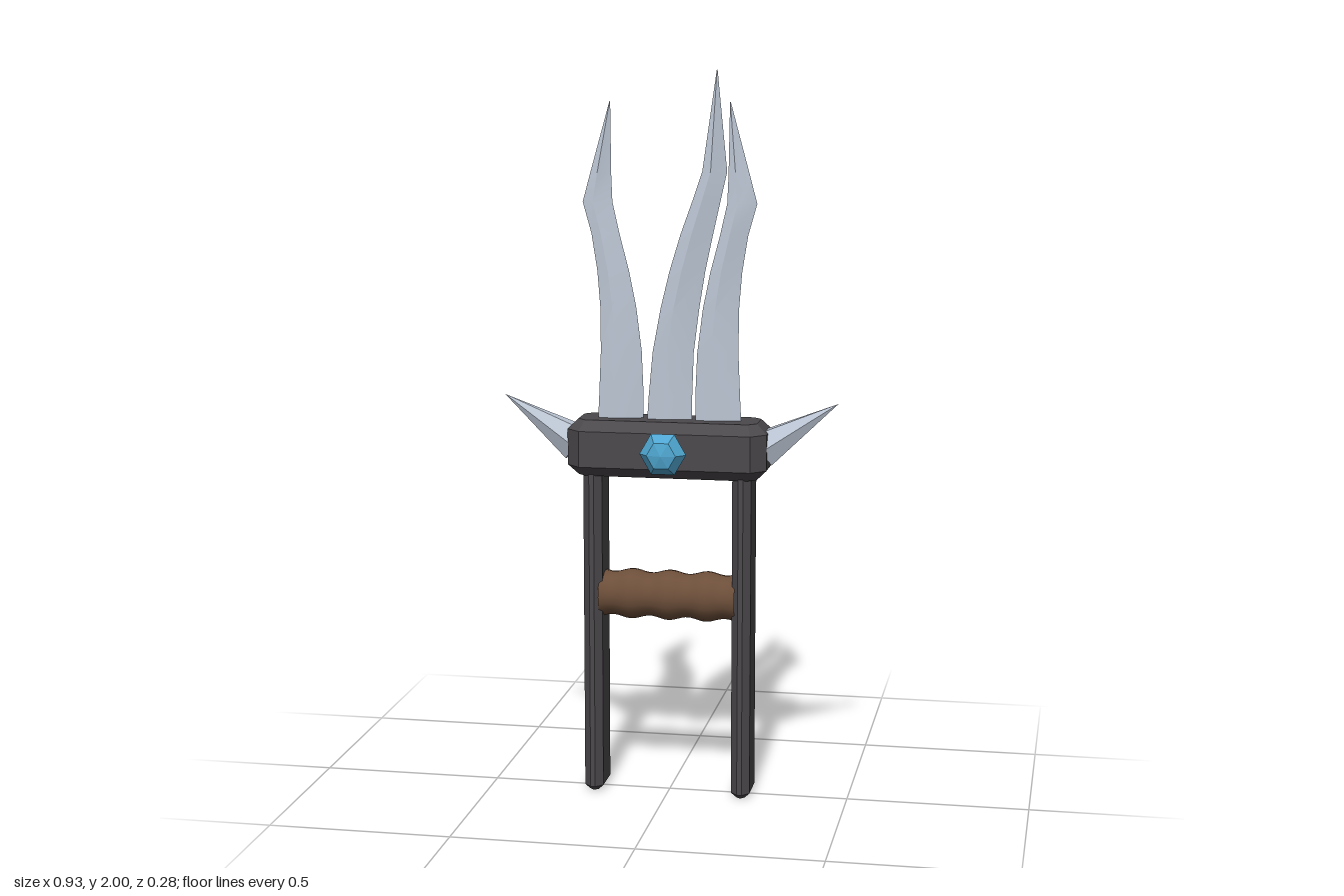
import * as THREE from 'three';
import { toCreasedNormals } from 'three/addons/utils/BufferGeometryUtils.js';

const material = (color, flatShading = false) => new THREE.MeshStandardMaterial({ color, flatShading });
const iron = material(0x4c494c, true);
const steel = material(0xbcc6d4);
const spikeSteel = material(0xbcc6d4, true);
const leather = material(0x6d4f3a);
const crystal = material(0x4fa6d0, true);

function add(parent, name, geometry, mat) {
  const mesh = new THREE.Mesh(geometry, mat);
  mesh.name = name;
  parent.add(mesh);
  return mesh;
}

// Box with every edge cut at 45 degrees, centred on the origin
function chamferedBox(w, h, d, c) {
  const x = w / 2 - c, z = d / 2 - c, k = c * 0.8;
  const shape = new THREE.Shape([
    [x, -z + k], [x, z - k], [x - k, z], [-x + k, z],
    [-x, z - k], [-x, -z + k], [-x + k, -z], [x - k, -z],
  ].map(([a, b]) => new THREE.Vector2(a, b)));
  return new THREE.ExtrudeGeometry(shape, {
    depth: h - 2 * c, bevelEnabled: true, bevelSegments: 1, bevelSize: c, bevelThickness: c,
  }).translate(0, 0, -(h - 2 * c) / 2).rotateX(-Math.PI / 2);
}

// Wedge-section blade: blunt spine on -x, sharp edge on +x; rows are [y, xMin, xMax, half thickness]
function bladeGeometry(rows) {
  const pos = [], index = [];
  for (const [y, l, r, t] of rows) {
    const m = l + (r - l) * 0.35;
    pos.push(r, y, 0, m, y, -t, l, y, -t * 0.7, l, y, t * 0.7, m, y, t);
  }
  for (let i = 0; i < rows.length - 1; i++) {
    for (let j = 0; j < 5; j++) {
      const a = i * 5 + j, b = i * 5 + (j + 1) % 5;
      index.push(a, b, b + 5, a, b + 5, a + 5);
    }
  }
  const g = new THREE.BufferGeometry();
  g.setAttribute('position', new THREE.Float32BufferAttribute(pos, 3));
  g.setIndex(index);
  return toCreasedNormals(g, 0.45);
}

export function createModel() {
  const model = new THREE.Group();
  model.name = 'tripleBladeDagger';

  // Guard block
  add(model, 'guard', chamferedBox(0.55, 0.155, 0.18, 0.028), iron).position.y = 0.978;

  // Blades: outer pair share a mirrored outline, the middle one leans to +x
  const outer = [
    [1.0, 0.075, 0.2, 0.02], [1.12, 0.073, 0.194, 0.02], [1.24, 0.078, 0.189, 0.02],
    [1.36, 0.093, 0.19, 0.019], [1.46, 0.113, 0.198, 0.018], [1.56, 0.139, 0.214, 0.016],
    [1.645, 0.158, 0.238, 0.014], [1.72, 0.161, 0.218, 0.012], [1.915, 0.163, 0.165, 0.001],
  ];
  const middle = [
    [1.0, -0.064, 0.062, 0.02], [1.12, -0.056, 0.062, 0.02], [1.24, -0.045, 0.066, 0.02],
    [1.36, -0.023, 0.081, 0.02], [1.46, 0.001, 0.097, 0.019], [1.56, 0.031, 0.118, 0.018],
    [1.65, 0.063, 0.138, 0.016], [1.73, 0.09, 0.156, 0.014], [2.0, 0.127, 0.129, 0.001],
  ];
  add(model, 'leftBlade', bladeGeometry(outer), steel);
  add(model, 'rightBlade', bladeGeometry(outer.map(([y, a, b, t]) => [y, -b, -a, t])), steel);
  add(model, 'middleBlade', bladeGeometry(middle), steel);

  for (const s of [1, -1]) {
    const side = s > 0 ? 'left' : 'right';

    // Side post of the handle
    add(model, side + 'Post', chamferedBox(0.052, 0.93, 0.132, 0.014), iron).position.set(s * 0.207, 0.465, 0);

    // Angled spike at the end of the guard
    const dir = new THREE.Vector3(s * 0.203, 0.13, 0);
    const cone = new THREE.ConeGeometry(0.055, dir.length(), 6);
    const spike = add(model, side + 'Spike', cone, spikeSteel);
    spike.position.set(s * 0.3615, 1.045, 0);
    spike.quaternion.setFromUnitVectors(new THREE.Vector3(0, 1, 0), dir.normalize());
  }

  // Cut gems on the front and back of the guard
  const gemProfile = [[0, 0], [0.052, 0], [0.064, 0.02], [0.04, 0.047], [0, 0.055]]
    .map(([r, y]) => new THREE.Vector2(r, y));
  for (const s of [1, -1]) {
    const gem = add(model, s > 0 ? 'frontGem' : 'backGem',
      new THREE.LatheGeometry(gemProfile, 6, Math.PI / 2), crystal);
    gem.position.set(0, 0.975, s * 0.086);
    gem.rotation.x = s * Math.PI / 2;
  }

  // Wavy wrapped grip between the posts
  const gripProfile = [];
  for (let i = 0; i <= 32; i++) {
    const x = -0.19 + 0.38 * i / 32;
    gripProfile.push(new THREE.Vector2(0.065 + 0.005 * Math.cos(x * Math.PI * 2 / 0.105), x));
  }
  const grip = add(model, 'grip', new THREE.LatheGeometry(gripProfile, 20), leather);
  grip.rotation.z = Math.PI / 2;
  grip.position.y = 0.56;

  return model;
}
